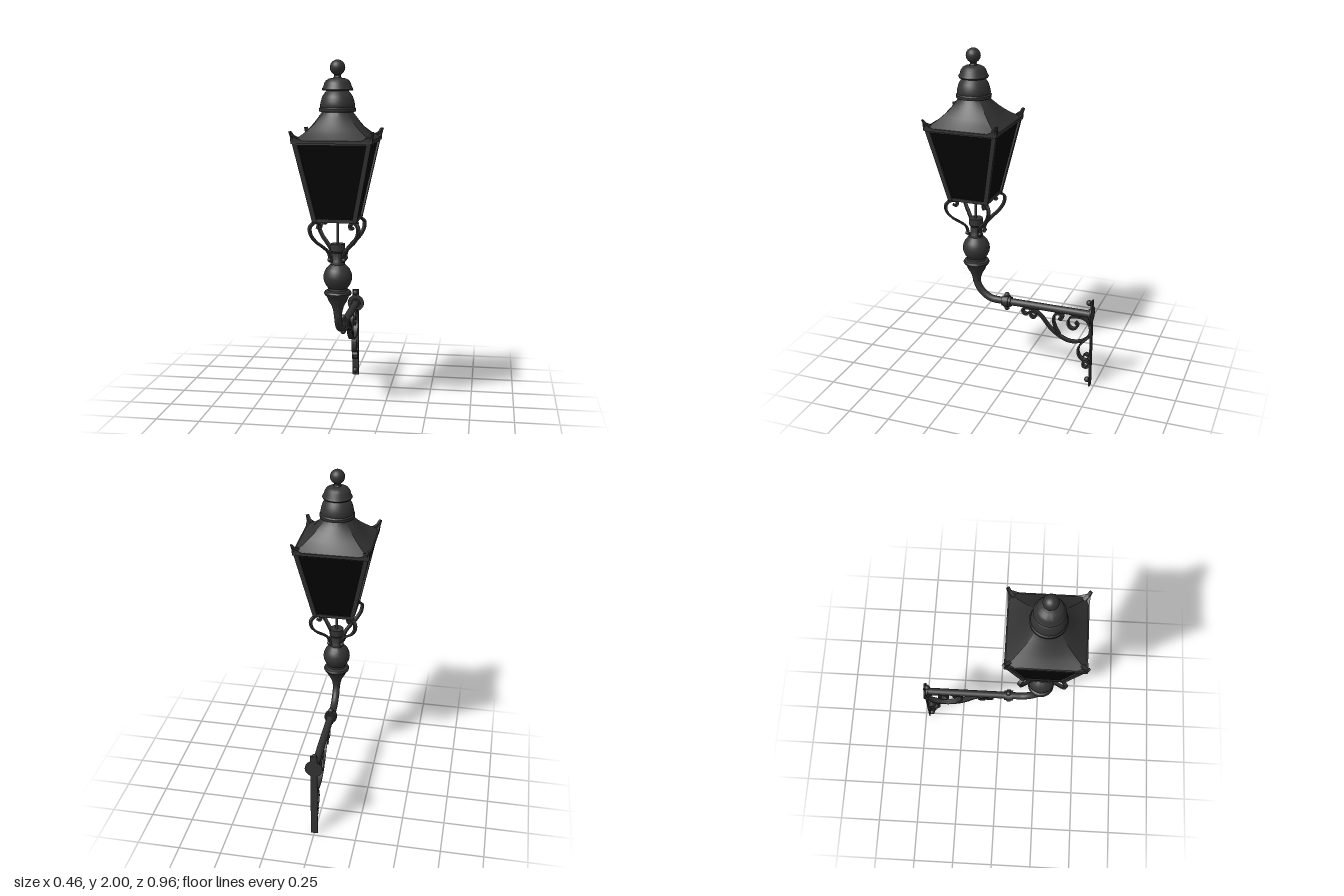
import * as THREE from 'three';
import { toCreasedNormals } from 'three/addons/utils/BufferGeometryUtils.js';
import { ConvexGeometry } from 'three/addons/geometries/ConvexGeometry.js';

const V2 = (p) => new THREE.Vector2(p[0], p[1]);
const V3 = (x, y, z) => new THREE.Vector3(x, y, z);
const R2 = Math.SQRT2;

export function createModel() {
  const iron = new THREE.MeshStandardMaterial({ color: 0x333333 });
  iron.name = 'dark iron';
  const glass = new THREE.MeshStandardMaterial({ color: 0x040404, side: THREE.DoubleSide });
  glass.name = 'black glass';

  const model = new THREE.Group();
  model.name = 'wallLantern';
  const lamp = new THREE.Group();
  lamp.name = 'lampHead';
  lamp.position.z = 0.251;
  const bracket = new THREE.Group();
  bracket.name = 'wallBracket';
  model.add(lamp, bracket);

  const add = (parent, name, geo, mat = iron) => {
    const mesh = new THREE.Mesh(geo, mat);
    mesh.name = name;
    parent.add(mesh);
    return mesh;
  };
  const ball = (parent, name, r, x, y, z) =>
    add(parent, name, new THREE.SphereGeometry(r, 24, 16)).position.set(x, y, z);
  const lathe = (pts, seg = 40) =>
    toCreasedNormals(new THREE.LatheGeometry(pts.map(V2), seg), 0.6);
  // Cylinder lying along z
  const disc = (parent, name, r, depth, y, z) =>
    add(parent, name, new THREE.CylinderGeometry(r, r, depth, 32).rotateX(Math.PI / 2)).position.set(0, y, z);
  // Square bar between two points
  const bar = (parent, name, a, b, w) => {
    const mesh = add(parent, name, new THREE.BoxGeometry(w, a.distanceTo(b), w));
    mesh.position.copy(a).add(b).multiplyScalar(0.5);
    mesh.quaternion.setFromUnitVectors(V3(0, 1, 0), b.clone().sub(a).normalize());
  };
  // Flat outline thickened and turned about y
  const plate = (pts, width, angle) =>
    new THREE.ExtrudeGeometry(new THREE.Shape(pts), { depth: width, bevelEnabled: false })
      .translate(0, 0, -width / 2).rotateY(angle);
  // Flat strip following a planar curve
  const ribbon = (pts, width, thick, angle) => {
    const curve = new THREE.CatmullRomCurve3(pts.map((p) => V3(p[0], p[1], 0)), false, 'centripetal');
    const left = [], right = [], n = pts.length * 6;
    for (let i = 0; i <= n; i++) {
      const p = curve.getPoint(i / n), t = curve.getTangent(i / n);
      const ox = -t.y * thick / 2, oy = t.x * thick / 2;
      left.push(V2([p.x + ox, p.y + oy]));
      right.unshift(V2([p.x - ox, p.y - oy]));
    }
    return toCreasedNormals(plate([...left, ...right], width, angle), 0.6);
  };

  // Roof: square at the eave, blending to round under the cap
  const roof = new THREE.LatheGeometry([[0.215, 1.572], [0.177, 1.604], [0.153, 1.63], [0.128, 1.66],
    [0.106, 1.69], [0.09, 1.712], [0.082, 1.73]].map(V2), 64);
  const rp = roof.attributes.position;
  for (let i = 0; i < rp.count; i++) {
    const x = rp.getX(i), y = rp.getY(i), z = rp.getZ(i);
    const square = Math.hypot(x, z) / Math.max(Math.abs(x), Math.abs(z));
    const s = THREE.MathUtils.lerp(square, 1, (y - 1.572) / 0.158);
    rp.setXYZ(i, x * s, y, z * s);
  }
  add(lamp, 'roof', toCreasedNormals(roof, 0.4));

  // Eave and glazing
  add(lamp, 'eave', new THREE.BoxGeometry(0.436, 0.016, 0.436)).position.y = 1.567;
  add(lamp, 'glassPanes', toCreasedNormals(
    new THREE.CylinderGeometry(0.2 * R2, 0.112 * R2, 0.43, 4, 1, true).rotateY(Math.PI / 4), 0.3), glass).position.y = 1.345;
  add(lamp, 'glassFloor', new THREE.BoxGeometry(0.22, 0.006, 0.22), glass).position.y = 1.138;

  // Frame bars, corner ears and carrying scrolls
  const scroll = [[0.14, 1.095], [0.125, 1.088], [0.115, 1.103], [0.13, 1.118], [0.16, 1.121], [0.187, 1.1],
    [0.183, 1.06], [0.148, 1.015], [0.1, 0.98], [0.062, 0.945], [0.048, 0.89]];
  const horn = [[0.262, 1.57], [0.298, 1.57], [0.306, 1.595], [0.316, 1.622], [0.306, 1.625], [0.29, 1.604], [0.262, 1.592]];
  for (let k = 0; k < 4; k++) {
    const corner = new THREE.Group();
    corner.name = 'lanternCorner' + (k + 1);
    corner.rotation.y = k * Math.PI / 2;
    lamp.add(corner);
    bar(corner, 'cornerPost', V3(0.109, 1.127, 0.109), V3(0.199, 1.562, 0.199), 0.026);
    bar(corner, 'bottomRail', V3(-0.12, 1.133, 0.111), V3(0.12, 1.133, 0.111), 0.018);
    bar(corner, 'topRail', V3(-0.2, 1.557, 0.2), V3(0.2, 1.557, 0.2), 0.014);
    add(corner, 'cornerHorn', plate(horn.map(V2), 0.018, -Math.PI / 4));
    add(corner, 'cornerEar', toCreasedNormals(new ConvexGeometry([
      V3(0.218, 1.562, 0.218), V3(0.221, 1.605, 0.221), V3(0.16, 1.576, 0.218), V3(0.218, 1.576, 0.16),
      V3(0.195, 1.576, 0.195)]), 0.4));
    add(corner, 'carryingScroll', ribbon(scroll, 0.02, 0.013, -Math.PI / 4));
    ball(corner, 'scrollBolt', 0.012, 0.04, 0.905, 0.04);
  }

  // Chimney cap with two domes and ball
  add(lamp, 'chimneyCap', lathe([[0.07, 1.715], [0.1, 1.722], [0.101, 1.738], [0.094, 1.745], [0.096, 1.752],
    [0.092, 1.775], [0.083, 1.803], [0.068, 1.825], [0.056, 1.834], [0.082, 1.834], [0.086, 1.842],
    [0.078, 1.855], [0.072, 1.875], [0.062, 1.89], [0.045, 1.899], [0.022, 1.903], [0.018, 1.912], [0.022, 1.93]]));
  ball(lamp, 'finialBall', 0.042, 0, 1.958, 0);

  // Central rod and turned stem
  add(lamp, 'centreRod', new THREE.CylinderGeometry(0.008, 0.008, 0.17, 12)).position.y = 1.055;
  add(lamp, 'stem', lathe([[0.022, 0.575], [0.026, 0.605], [0.036, 0.637], [0.054, 0.667], [0.062, 0.69],
    [0.074, 0.7], [0.078, 0.71], [0.072, 0.721], [0.057, 0.727], [0.055, 0.74], [0.068, 0.757], [0.078, 0.78],
    [0.081, 0.8], [0.078, 0.822], [0.068, 0.845], [0.052, 0.864], [0.04, 0.874], [0.04, 0.89], [0.034, 0.9],
    [0.034, 0.94], [0.041, 0.95], [0.041, 0.99], [0, 0.99]]));

  // Bent arm
  const arm = new THREE.CurvePath();
  const k1 = 0.056; // control handle offset for the quarter bend
  arm.add(new THREE.LineCurve3(V3(0, 0.62, 0.251), V3(0, 0.6, 0.251)));
  arm.add(new THREE.CubicBezierCurve3(V3(0, 0.6, 0.251), V3(0, 0.475 + k1, 0.251), V3(0, 0.475, 0.126 + k1), V3(0, 0.475, 0.126)));
  arm.add(new THREE.LineCurve3(V3(0, 0.475, 0.126), V3(0, 0.475, -0.475)));
  add(bracket, 'arm', new THREE.TubeGeometry(arm, 80, 0.022, 20));

  // Collar with knobs
  disc(bracket, 'collar', 0.031, 0.056, 0.475, 0.056);
  disc(bracket, 'collarRing', 0.038, 0.026, 0.475, 0.056);
  for (const s of [-1, 1]) ball(bracket, 'collarKnob', 0.016, 0, 0.475 + s * 0.043, 0.056);

  // Wall plate, flange and bolts
  add(bracket, 'wallStrip', new THREE.BoxGeometry(0.04, 0.565, 0.008)).position.set(0, 0.2825, -0.476);
  disc(bracket, 'wallFlange', 0.052, 0.009, 0.475, -0.4755);
  disc(bracket, 'wallBoss', 0.03, 0.018, 0.475, -0.465);
  for (const y of [0.548, 0.035]) {
    disc(bracket, 'boltShank', 0.01, 0.02, y, -0.466);
    ball(bracket, 'wallBolt', 0.017, 0, y, -0.458);
  }

  // Scrollwork under the arm
  const ring = (z, y, r) => Array.from({ length: 12 }, (_, i) =>
    [z + r * Math.cos(i * 0.55), y + r * Math.sin(i * 0.55)]);
  const scrolls = {
    mainScroll: [[-0.087, 0.426], [-0.072, 0.411], [-0.05, 0.421], [-0.046, 0.442], [-0.072, 0.453], [-0.119, 0.447],
      [-0.167, 0.411], [-0.215, 0.352], [-0.273, 0.305], [-0.347, 0.278], [-0.421, 0.294], [-0.462, 0.336],
      [-0.468, 0.395], [-0.442, 0.437], [-0.389, 0.448], [-0.347, 0.437], [-0.331, 0.4], [-0.347, 0.368],
      [-0.373, 0.366], [-0.393, 0.387], [-0.379, 0.411]],
    upperCurl: [[-0.273, 0.421], [-0.292, 0.413], [-0.298, 0.437], [-0.273, 0.449], [-0.248, 0.437], [-0.241, 0.4],
      [-0.252, 0.358], [-0.28, 0.308]],
    lowerCurl: [[-0.468, 0.33], [-0.424, 0.283], [-0.401, 0.246], [-0.4, 0.204], [-0.421, 0.172], [-0.453, 0.167],
      [-0.468, 0.19], [-0.449, 0.209], [-0.432, 0.193]],
    frontRing: ring(-0.114, 0.416, 0.019),
    bottomRing: ring(-0.448, 0.14, 0.02),
  };
  for (const [name, pts] of Object.entries(scrolls))
    add(bracket, name, ribbon(pts, 0.034, 0.01, -Math.PI / 2));

  return model;
}
